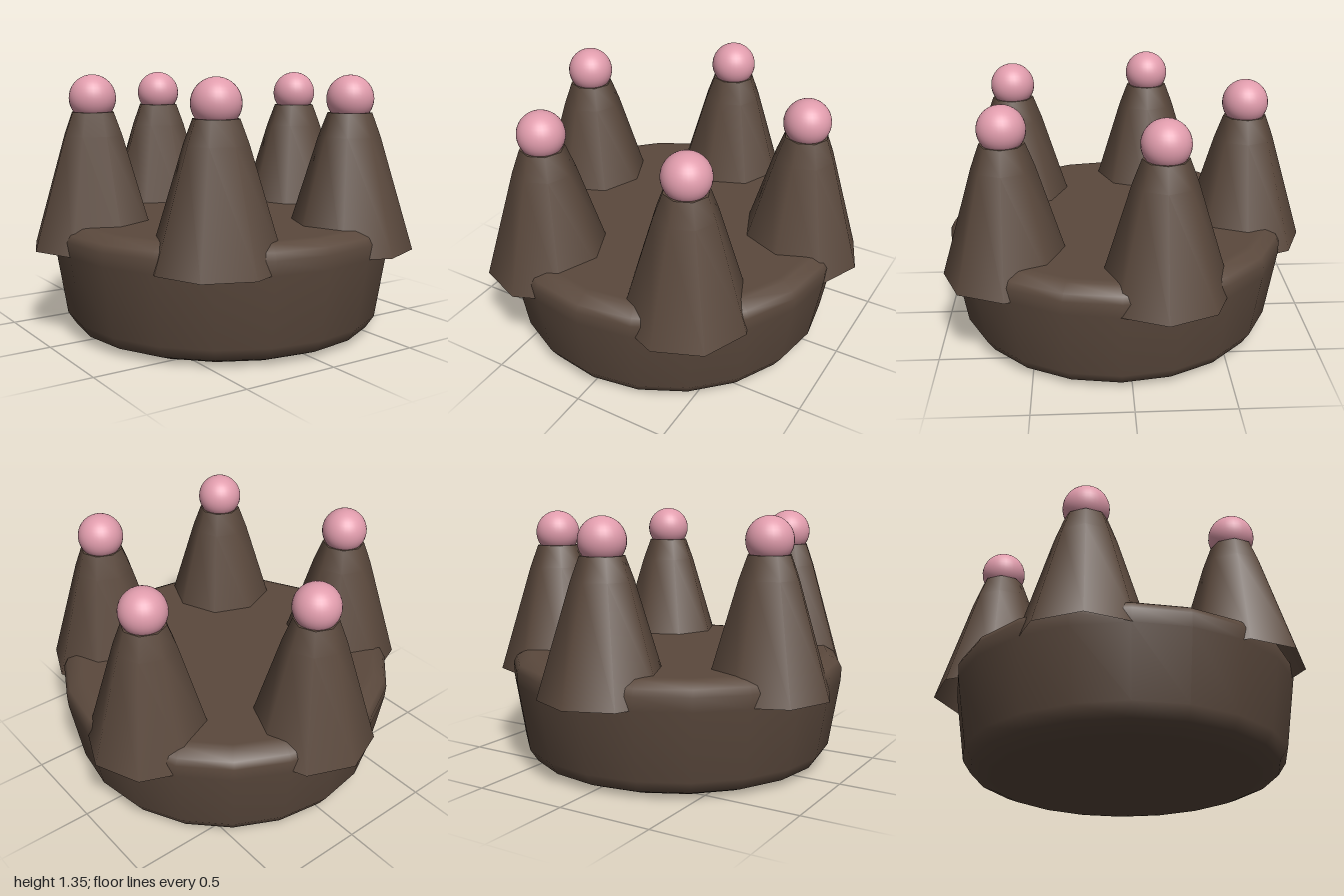
import * as THREE from 'three';

const CENTRE_Z = 0.055;
const SPIKES = 5;
const SPIKE_RING = 0.695;

const points = (list) => list.map(([r, y]) => new THREE.Vector2(r, y));

export function createModel() {
  const brown = new THREE.MeshStandardMaterial({ color: 0x5b493d, side: THREE.DoubleSide });
  brown.name = 'dark brown';
  const pink = new THREE.MeshStandardMaterial({ color: 0xe09cac });
  pink.name = 'pink';

  const crown = new THREE.Group();
  crown.name = 'crown';

  // Solid drum with rounded top and bottom rims, 20 sides, smooth
  const bandProfile = points([
    [0, 0], [0.70, 0], [0.73, 0.004], [0.805, 0.035], [0.848, 0.1],
    [0.905, 0.46], [0.908, 0.53], [0.89, 0.565], [0.835, 0.597], [0.8, 0.6], [0, 0.6],
  ]);
  const band = new THREE.Mesh(new THREE.LatheGeometry(bandProfile, 20), brown);
  band.name = 'band';
  band.position.z = CENTRE_Z;
  crown.add(band);

  // Eight-sided tapering spikes, open below, each topped with a ball
  const spikeGeometry = new THREE.LatheGeometry(points([[0.335, 0.46], [0.158, 1.04], [0.113, 1.16]]), 8);
  const capGeometry = new THREE.CircleGeometry(0.113, 8).rotateX(-Math.PI / 2);
  const ballGeometry = new THREE.SphereGeometry(0.121, 32, 20);

  for (let i = 0; i < SPIKES; i++) {
    const angle = Math.PI + (i * 2 * Math.PI) / SPIKES;
    const spike = new THREE.Group();
    spike.name = `spike${i + 1}`;
    spike.position.set(SPIKE_RING * Math.sin(angle), 0, CENTRE_Z + SPIKE_RING * Math.cos(angle));

    const cone = new THREE.Mesh(spikeGeometry, brown);
    cone.name = 'spikeCone';
    const cap = new THREE.Mesh(capGeometry, brown);
    cap.name = 'spikeCap';
    cap.position.y = 1.16;
    const ball = new THREE.Mesh(ballGeometry, pink);
    ball.name = 'spikeBall';
    ball.position.y = 1.23;

    spike.add(cone, cap, ball);
    crown.add(spike);
  }
  return crown;
}
